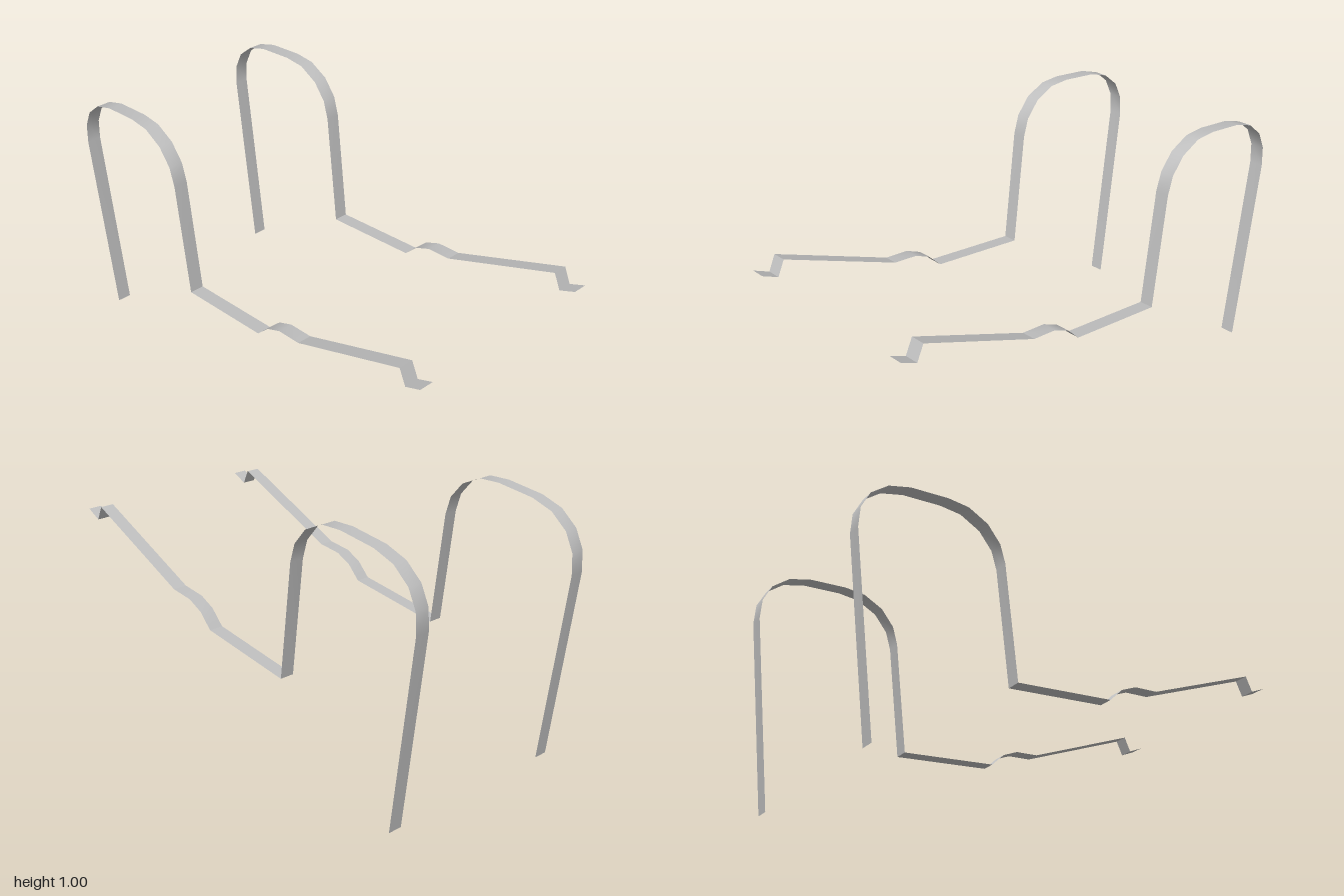
import * as THREE from 'three';

const YAW = THREE.MathUtils.degToRad(12);
const WIDTH = 0.056;

// Side profile of one strap, [z, y], split at its sharp bends
const PARTS = {
  archedHook: [
    [-0.902, 0], [-0.993, 0.75], [-0.988, 0.83], [-0.955, 0.9], [-0.89, 0.955],
    [-0.805, 0.983], [-0.655, 1.0], [-0.57, 0.996], [-0.49, 0.957],
    [-0.437, 0.893], [-0.415, 0.82], [-0.36, 0.364],
  ],
  lowerLink: [[-0.36, 0.364], [0.043, 0.412]],
  curvedStep: [[0.043, 0.412], [0.098, 0.468], [0.163, 0.498], [0.263, 0.508]],
  frontArm: [[0.263, 0.508], [0.745, 0.715]],
  dropTab: [[0.745, 0.715], [0.773, 0.655]],
  endLip: [[0.773, 0.655], [0.836, 0.685]],
};

// Flat ribbon swept along a profile, smooth within the part
function ribbon(profile) {
  const positions = [];
  const index = [];
  profile.forEach(([z, y], i) => {
    const along = z / Math.cos(YAW);
    positions.push(-WIDTH / 2, y, along, WIDTH / 2, y, along);
    if (i > 0) {
      const a = 2 * (i - 1);
      index.push(a, a + 2, a + 1, a + 1, a + 2, a + 3);
    }
  });
  const geometry = new THREE.BufferGeometry();
  geometry.setAttribute('position', new THREE.Float32BufferAttribute(positions, 3));
  geometry.setIndex(index);
  geometry.computeVertexNormals();
  return geometry;
}

export function createModel() {
  const model = new THREE.Group();
  model.name = 'pairOfBentStraps';
  const metal = new THREE.MeshStandardMaterial({ color: 0xbfbfbf, side: THREE.DoubleSide });
  metal.name = 'grey metal';

  // Two identical straps, side by side and staggered
  const places = [['rightStrap', -0.387, 0], ['leftStrap', 0.352, 0.158]];
  for (const [name, x, z] of places) {
    const strap = new THREE.Group();
    strap.name = name;
    for (const [part, profile] of Object.entries(PARTS)) {
      const mesh = new THREE.Mesh(ribbon(profile), metal);
      mesh.name = part;
      strap.add(mesh);
    }
    strap.rotation.y = -YAW;
    strap.position.set(x, 0, z);
    model.add(strap);
  }
  return model;
}
